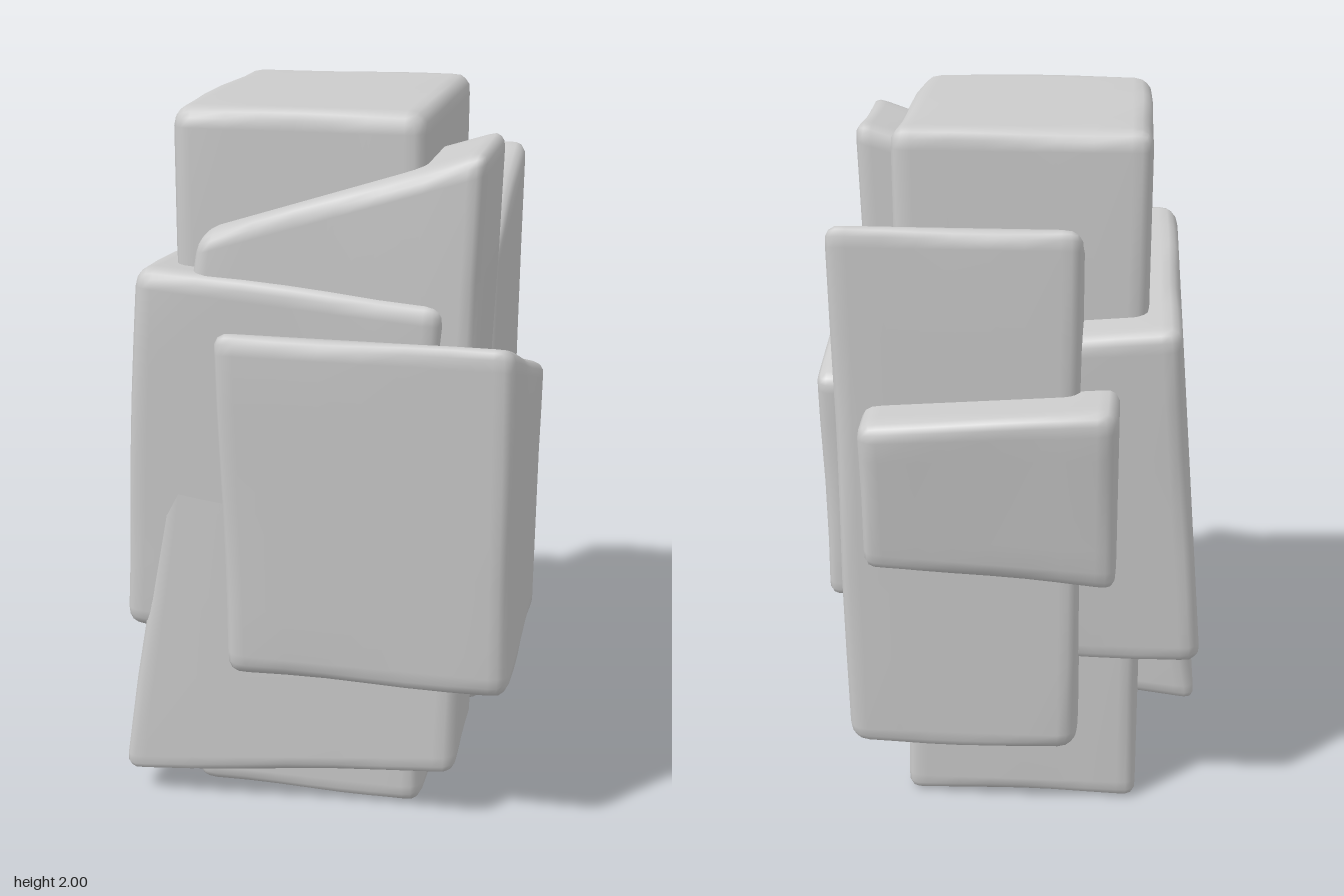
import * as THREE from 'three';
import { mergeVertices } from 'three/addons/utils/BufferGeometryUtils.js';

const material = new THREE.MeshStandardMaterial({ color: 0xcccccc });
const SEG = 10;
const lerp = THREE.MathUtils.lerp;

// Grid steps crowd towards the edges so the worn bevel has its own rows.
function gridToLength(t, size, r) {
  const i = Math.round((t + 0.5) * SEG);
  if (i <= 2) return -size / 2 + (i * r) / 2;
  if (i >= SEG - 2) return size / 2 - ((SEG - i) * r) / 2;
  return lerp(-size / 2 + r, size / 2 - r, (i - 2) / (SEG - 4));
}

// Hewn stone block with tapered sides and sloping ends.
// bottom, top: [x0, x1, z0, z1]; yBottom, yTop: [middle, rise to +x, rise to +z]
function stone({ name, bottom, top, yBottom, yTop, bevel = 0.055 }, seed) {
  const size = [
    (bottom[1] - bottom[0] + top[1] - top[0]) / 2,
    yTop[0] - yBottom[0],
    (bottom[3] - bottom[2] + top[3] - top[2]) / 2,
  ];
  let geo = new THREE.BoxGeometry(1, 1, 1, SEG, SEG, SEG);
  geo.deleteAttribute('normal');
  geo.deleteAttribute('uv');
  geo = mergeVertices(geo);
  const pos = geo.attributes.position;
  const p = new THREE.Vector3(), inner = new THREE.Vector3(), off = new THREE.Vector3();

  for (let i = 0; i < pos.count; i++) {
    p.fromBufferAttribute(pos, i);
    p.set(...[p.x, p.y, p.z].map((t, k) => gridToLength(t, size[k], bevel)));

    // Uneven rounding of the edges
    const wear = 0.8 + 0.2 * Math.sin(9 * p.x + 7 * p.y + 11 * p.z + seed * 2.3);
    const r = bevel * wear;
    inner.set(...[p.x, p.y, p.z].map((v, k) =>
      THREE.MathUtils.clamp(v, -size[k] / 2 + r, size[k] / 2 - r)));
    off.subVectors(p, inner);
    if (off.lengthSq() > 0) p.copy(inner).addScaledVector(off.normalize(), r);

    // Taper and slope
    const u = p.x / size[0] + 0.5, v = p.y / size[1] + 0.5, w = p.z / size[2] + 0.5;
    const height = ([y, dx, dz]) => y + dx * (2 * u - 1) + dz * (2 * w - 1);
    const side = (k) => lerp(bottom[k], top[k], v);
    pos.setXYZ(i,
      lerp(side(0), side(1), u),
      lerp(height(yBottom), height(yTop), v),
      lerp(side(2), side(3), w));
  }
  geo.computeVertexNormals();
  const mesh = new THREE.Mesh(geo, material);
  mesh.name = name;
  return mesh;
}

export function createModel() {
  const group = new THREE.Group();
  group.name = 'rockPillar';
  const stones = [
    { name: 'coreStone', bottom: [-0.38, 0.29, -0.32, 0.36], top: [-0.38, 0.29, -0.395, 0.43],
      yBottom: [0, 0, 0], yTop: [2, 0, 0] },
    { name: 'frontLeftStone', bottom: [-0.21, 0.56, -0.03, 0.61], top: [-0.21, 0.56, -0.1, 0.68],
      yBottom: [0.49, 0, 0], yTop: [1.35, 0, 0.13] },
    { name: 'frontSlab', bottom: [-0.57, 0.4, 0.13, 0.47], top: [-0.3, 0.455, 0.08, 0.5],
      yBottom: [0.12, 0.05, 0], yTop: [1.8, 0.12, 0] },
    { name: 'rearLeftStone', bottom: [-0.21, 0.44, -0.47, 0.17], top: [-0.21, 0.44, -0.55, 0.1],
      yBottom: [0.24, 0, 0], yTop: [1.69, 0, -0.1] },
    { name: 'rightStone', bottom: [-0.55, 0.3, -0.42, 0.46], top: [-0.465, 0.36, -0.5, 0.525],
      yBottom: [0.52, 0, 0.01], yTop: [1.52, -0.035, 0.045] },
    { name: 'rearSmallStone', bottom: [-0.31, 0.36, -0.6, -0.33], top: [-0.31, 0.36, -0.68, -0.4],
      yBottom: [0.84, 0.025, 0], yTop: [1.325, -0.025, 0] },
  ];
  stones.forEach((s, i) => group.add(stone(s, i)));
  return group;
}
